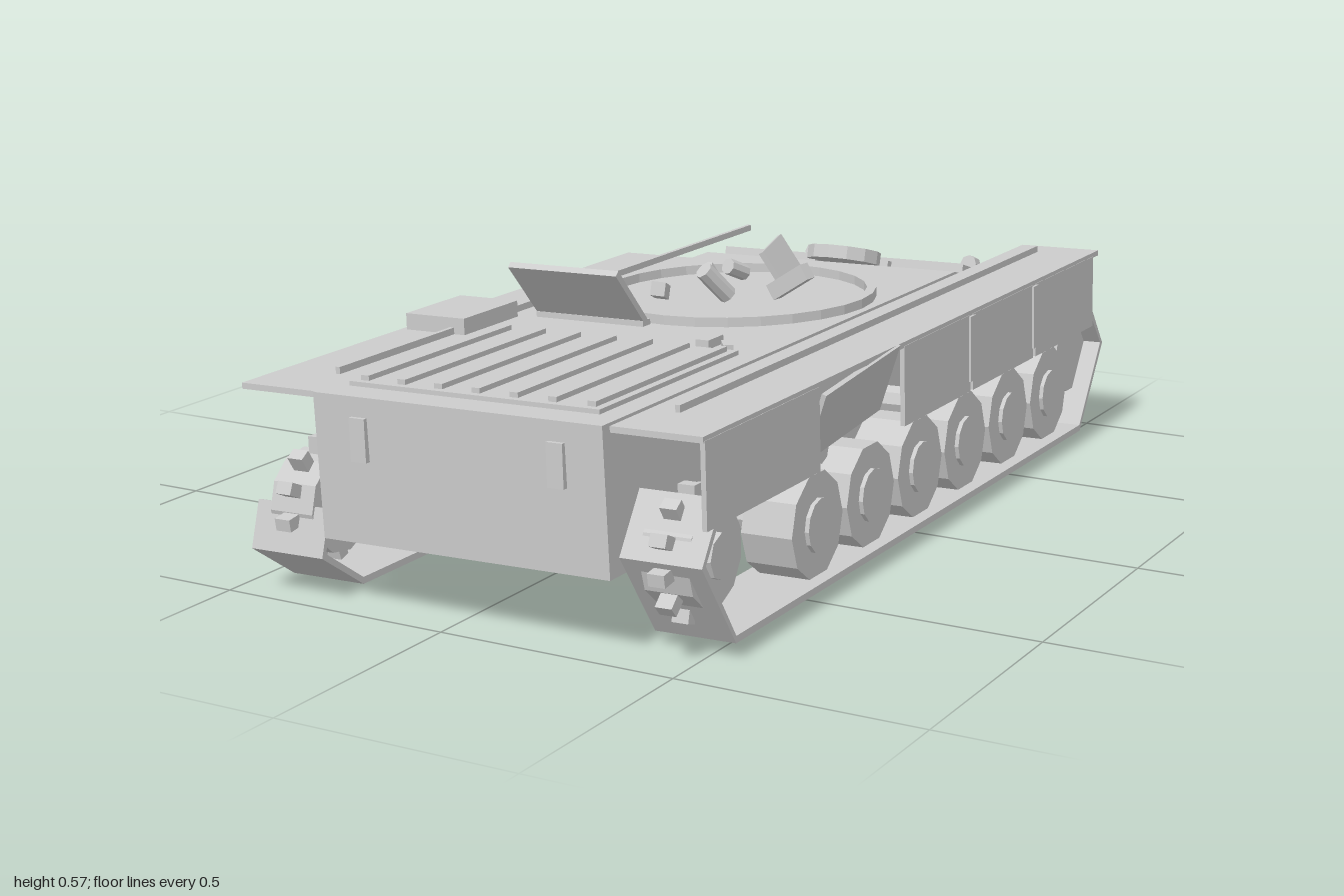
import * as THREE from 'three';

const mat = new THREE.MeshStandardMaterial({ color: 0xcccccc, flatShading: true, side: THREE.DoubleSide });

function add(parent, name, geo, pos = [0, 0, 0], rot = [0, 0, 0]) {
  const m = new THREE.Mesh(geo, mat);
  m.name = name;
  m.position.set(...pos);
  m.rotation.set(...rot);
  parent.add(m);
  return m;
}
const box = (parent, name, size, pos, rot) => add(parent, name, new THREE.BoxGeometry(...size), pos, rot);

// cylinder whose axis runs along x
const axle = (r, len, sides = 10) => new THREE.CylinderGeometry(r, r, len, sides).rotateZ(Math.PI / 2);

function group(parent, name, pos = [0, 0, 0], rot = [0, 0, 0]) {
  const g = new THREE.Group();
  g.name = name;
  g.position.set(...pos);
  g.rotation.set(...rot);
  parent.add(g);
  return g;
}

// side profile of [z, y] points, widened along x
function prism(points, width) {
  const shape = new THREE.Shape(points.map(p => new THREE.Vector2(...p)));
  return new THREE.ExtrudeGeometry(shape, { depth: width, bevelEnabled: false })
    .rotateY(-Math.PI / 2).translate(width / 2, 0, 0);
}

// thin track band following [z, y] points
function band(points, width, t) {
  const inner = points.map((p, i) => {
    const a = points[Math.max(i - 1, 0)], b = points[Math.min(i + 1, points.length - 1)];
    const dz = b[0] - a[0], dy = b[1] - a[1], l = Math.hypot(dz, dy);
    return [p[0] + dy / l * t, p[1] - dz / l * t];
  });
  return prism([...points, ...inner.reverse()], width);
}

function wheel(parent, side, z) {
  const g = group(parent, 'roadWheel', [side * 0.415, 0.116, z]);
  add(g, 'tyre', axle(0.108, 0.11, 10));
  add(g, 'rim', axle(0.055, 0.012, 12), [side * 0.058, 0, 0]);
  add(g, 'axle', axle(0.03, 0.1, 8), [-side * 0.08, 0, 0]);
}

function sprocket(parent, side) {
  const g = group(parent, 'sprocket', [side * 0.415, 0.165, 0.865]);
  add(g, 'drum', axle(0.1, 0.1, 11));
  add(g, 'hub', axle(0.045, 0.13, 8));
  for (let i = 0; i < 11; i++) {
    const a = i / 11 * Math.PI * 2;
    box(g, 'tooth', [0.035, 0.035, 0.025], [0, Math.cos(a) * 0.112, Math.sin(a) * 0.112], [a, 0, 0]);
  }
}

export function createModel() {
  const root = new THREE.Group();
  root.name = 'wreckedTrackedVehicle';
  // the whole vehicle leans a little to its right
  const v = group(root, 'vehicle', [0.051, 0.017, 0], [0, 0, 0.028]);

  // hull with sloped nose at -z
  add(v, 'hull', prism([[1, 0.422], [0.99, 0.133], [-0.86, 0.133], [-1, 0.272], [-0.52, 0.422]], 0.636));
  for (const x of [-0.215, 0.22]) box(v, 'platePad', [0.035, 0.085, 0.015], [x, 0.34, 1.0]);

  // fenders: the left is whole, the right has its back part hanging down
  box(v, 'leftFender', [0.19, 0.012, 1.885], [0.413, 0.41, 0.032]);
  box(v, 'rightFender', [0.19, 0.012, 1.445], [-0.413, 0.41, 0.252]);
  const drop = Math.atan2(0.2, 0.39);
  box(v, 'saggingFender', [0.19, 0.012, 0.44], [-0.413, 0.31, -0.665], [-drop, 0, 0]);
  for (const s of [-1, 1]) box(v, 'fenderRail', [0.01, 0.014, 1.68], [s * 0.38, 0.423, 0]);
  box(v, 'fenderBox', [0.145, 0.035, 0.2], [-0.422, 0.433, 0.35]);

  // left side skirts, one of them knocked loose
  for (const [a, b] of [[0.97, 0.53], [0.155, -0.17], [-0.185, -0.515], [-0.53, -0.875]])
    box(v, 'skirt', [0.01, 0.165, a - b], [0.504, 0.325, (a + b) / 2]);
  for (const z of [-0.175, -0.52]) box(v, 'skirtStrap', [0.012, 0.14, 0.025], [0.508, 0.335, z]);
  box(v, 'looseSkirt', [0.01, 0.15, 0.33], [0.482, 0.332, 0.34], [0.09, 0, -0.36]);

  // running gear
  const gear = group(v, 'runningGear');
  const stations = [0.47, 0.235, 0, -0.23, -0.465, -0.7];
  for (const s of [-1, 1]) {
    stations.forEach((z, i) => {
      if (s < 0 && (i === 1 || i === 4)) add(gear, 'bareHub', axle(0.03, 0.13, 8), [-0.38, 0.12, z]);
      else wheel(gear, s, z);
    });
    sprocket(gear, s);
    const idler = group(gear, 'idler', [s * 0.415, 0.18, -0.865]);
    add(idler, 'idlerWheel', axle(0.095, 0.09, 10));
    add(idler, 'idlerAxle', axle(0.03, 0.18, 8), [-s * 0.05, 0, 0]);
    for (const z of [0.35, -0.06]) add(gear, 'returnRoller', axle(0.032, 0.1, 8), [s * 0.37, 0.235, z]);
  }

  // open lengths of track left on the wheels
  add(gear, 'leftTrack', band([[0.9, 0.285], [0.978, 0.175], [0.86, 0.002], [-0.82, 0.002],
    [-0.96, 0.185], [-0.88, 0.295]].reverse(), 0.17, -0.014), [0.416, 0, 0]);
  add(gear, 'rightTrack', band([[0.955, 0.18], [0.985, 0.088], [0.86, 0.002], [-0.33, 0.002]].reverse(),
    0.17, -0.014), [-0.416, 0, 0]);
  // track end thrown outwards on the ground
  box(gear, 'thrownTrack', [0.17, 0.014, 0.69], [-0.483, 0.009, -0.64], [0, 0.14, 0]);

  // empty turret ring
  const ring = new THREE.Shape().absarc(0, 0, 0.305, 0, Math.PI * 2);
  ring.holes.push(new THREE.Path().absarc(0, 0, 0.285, 0, Math.PI * 2, true));
  add(v, 'turretRing', new THREE.ExtrudeGeometry(ring, { depth: 0.022, bevelEnabled: false, curveSegments: 14 })
    .rotateX(-Math.PI / 2), [-0.004, 0.42, -0.08]);

  // debris within the ring
  const debris = group(v, 'debris', [-0.037, 0, 0]);
  box(debris, 'bentPlate', [0.012, 0.1, 0.12], [0.118, 0.492, -0.14], [0.15, 0.15, 0.5]);
  box(debris, 'brokenBar', [0.1, 0.035, 0.03], [0.205, 0.483, -0.01], [0, -0.1, 0.55]);
  box(debris, 'brokenBar', [0.03, 0.03, 0.09], [-0.06, 0.46, 0.08], [-0.3, 0.4, 0]);
  add(debris, 'brokenTube', new THREE.CylinderGeometry(0.02, 0.02, 0.085, 8), [0.07, 0.485, 0.07], [0.7, 0, 0.35]);
  add(debris, 'brokenTube', new THREE.CylinderGeometry(0.018, 0.018, 0.05, 8), [0.0, 0.475, -0.035], [0.5, 0, 0.3]);
  add(debris, 'brokenTube', new THREE.CylinderGeometry(0.018, 0.018, 0.055, 8), [-0.01, 0.465, -0.165], [1, 0.5, 0.3]);

  // engine grille
  const grille = group(v, 'engineGrille', [-0.007, 0.425, 0.67]);
  box(grille, 'grillePanel', [0.555, 0.012, 0.52], [0, 0, 0]);
  for (let i = 0; i < 7; i++) box(grille, 'slat', [0.018, 0.016, 0.49], [(i - 3) * 0.084, 0.008, 0]);
  box(v, 'gripBlock', [0.03, 0.02, 0.06], [0.178, 0.43, 0.36]);
  box(v, 'gripBlock', [0.02, 0.02, 0.05], [0.235, 0.43, 0.39], [0, 0.6, 0]);

  // open hatch leaning forward, with its hinge sill
  box(v, 'openHatch', [0.26, 0.165, 0.014], [-0.165, 0.49, 0.3], [0.74, 0, 0]);
  box(v, 'hatchSill', [0.26, 0.012, 0.03], [-0.165, 0.428, 0.245]);

  // sloped nose plate fittings, laid out in the plate's own plane
  const nose = group(v, 'noseFittings', [-0.04, 0.422, -0.52], [-0.303, 0, 0]);
  const along = z => (z + 0.52) / 0.954;
  for (const [x, z] of [[-0.088, -0.82], [0.037, -0.82], [0.163, -0.82], [-0.212, -0.64], [-0.088, -0.64], [0.287, -0.64]])
    box(nose, 'armourBlock', [0.115, 0.024, 0.11], [x, 0.012, along(z)]);
  box(nose, 'towBar', [0.265, 0.025, 0.035], [0.147, 0.037, along(-0.84)]);
  add(nose, 'driverHatch', new THREE.CylinderGeometry(0.085, 0.085, 0.03, 12), [0.037, 0.025, along(-0.6)]);
  for (const x of [-0.018, 0.035, 0.088]) box(nose, 'periscope', [0.032, 0.03, 0.02], [x, 0.015, along(-0.705)]);
  for (const x of [-0.21, 0.21]) {
    box(nose, 'lampPost', [0.015, 0.05, 0.015], [x, 0.025, along(-0.91)]);
    add(nose, 'lamp', new THREE.CylinderGeometry(0.02, 0.02, 0.03, 8), [x, 0.06, along(-0.925)], [Math.PI / 2, 0, 0]);
  }
  return root;
}
